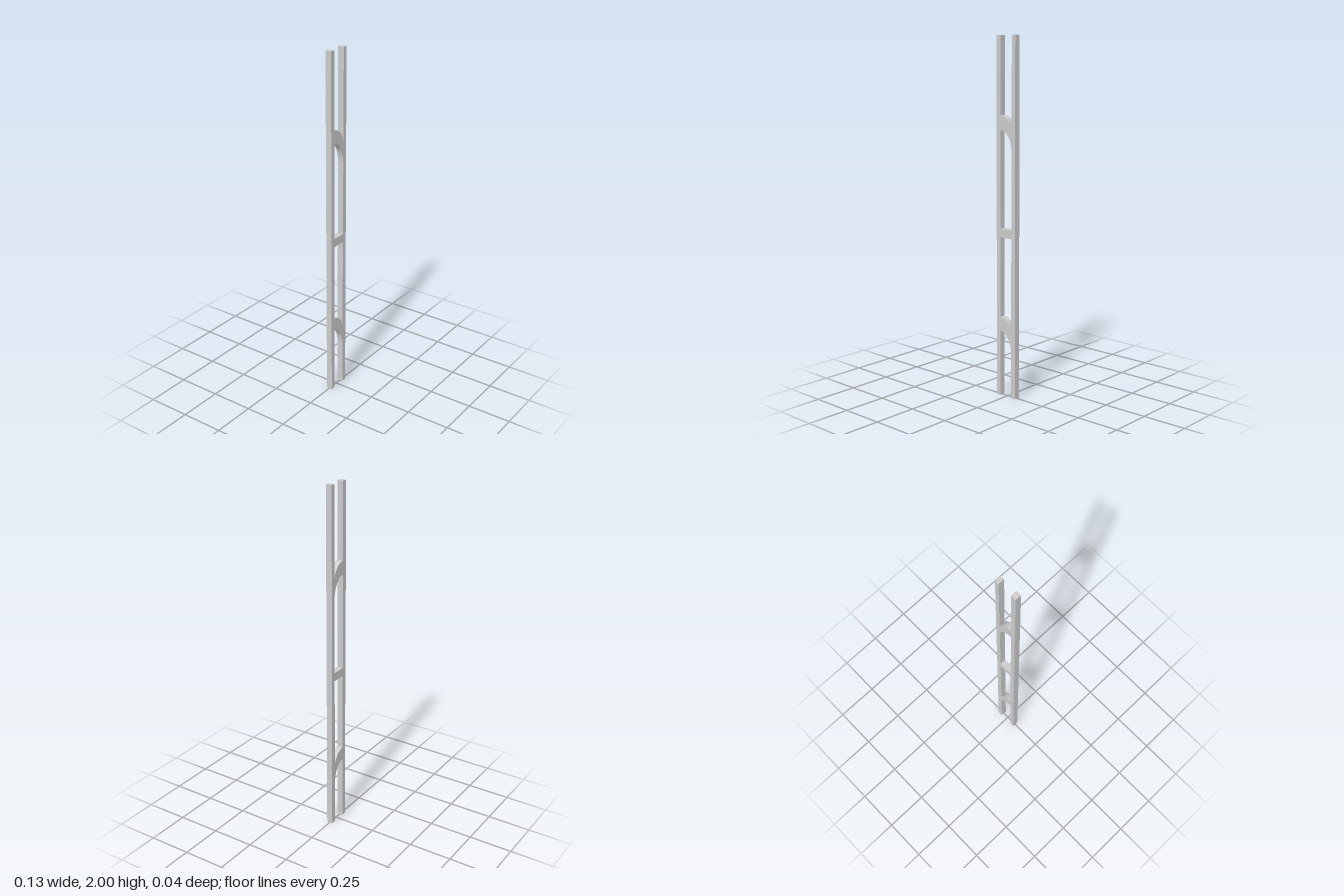
import * as THREE from 'three';

const DEPTH = 0.035;
const material = new THREE.MeshStandardMaterial({ color: 0xcccccc });

// Extrudes a flat outline, centred on z = 0
function slab(name, shape) {
  const geometry = new THREE.ExtrudeGeometry(shape, { depth: DEPTH, bevelEnabled: false, curveSegments: 16 });
  geometry.translate(0, 0, -DEPTH / 2);
  const mesh = new THREE.Mesh(geometry, material);
  mesh.name = name;
  return mesh;
}

function polygon(points) {
  return new THREE.Shape(points.map(([x, y]) => new THREE.Vector2(x, y)));
}

// Inner edges of the posts lean very slightly towards +x with height
const innerLeft = (y) => 0.038 + 0.0025 * y;
const innerRight = (y) => -0.0425 + 0.0025 * y;

// Curved brace: region between two quarter ellipses, its top edge starting at y
function brace(y) {
  const x0 = innerRight(y);
  const rx = innerLeft(y) - x0;
  const shape = new THREE.Shape();
  shape.moveTo(x0 - 0.003, y);
  shape.lineTo(x0, y);
  shape.absellipse(x0, y - 0.097, rx, 0.097, Math.PI / 2, 0, true);
  shape.lineTo(x0 + rx, y - 0.195);
  shape.absellipse(x0, y - 0.195, rx - 0.001, 0.117, 0, Math.PI / 2, false);
  shape.lineTo(x0 - 0.003, y - 0.078);
  shape.closePath();
  return shape;
}

export function createModel() {
  const group = new THREE.Group();
  group.name = 'ladderFrame';

  // Two tall posts
  group.add(slab('rightPost', polygon([[-0.067, 0], [innerRight(0), 0], [innerRight(2), 2], [-0.067, 2]])));
  group.add(slab('leftPost', polygon([[innerLeft(0), 0], [0.067, 0], [0.067, 2], [innerLeft(2), 2]])));

  // Straight rung in the middle
  group.add(slab('middleRung', polygon([
    [innerRight(0.907), 0.907], [innerLeft(0.907), 0.907], [innerLeft(0.956), 0.956], [innerRight(0.956), 0.956],
  ])));

  // Curved braces below and above the rung
  group.add(slab('lowerBrace', brace(0.456)));
  group.add(slab('upperBrace', brace(1.576)));
  return group;
}
